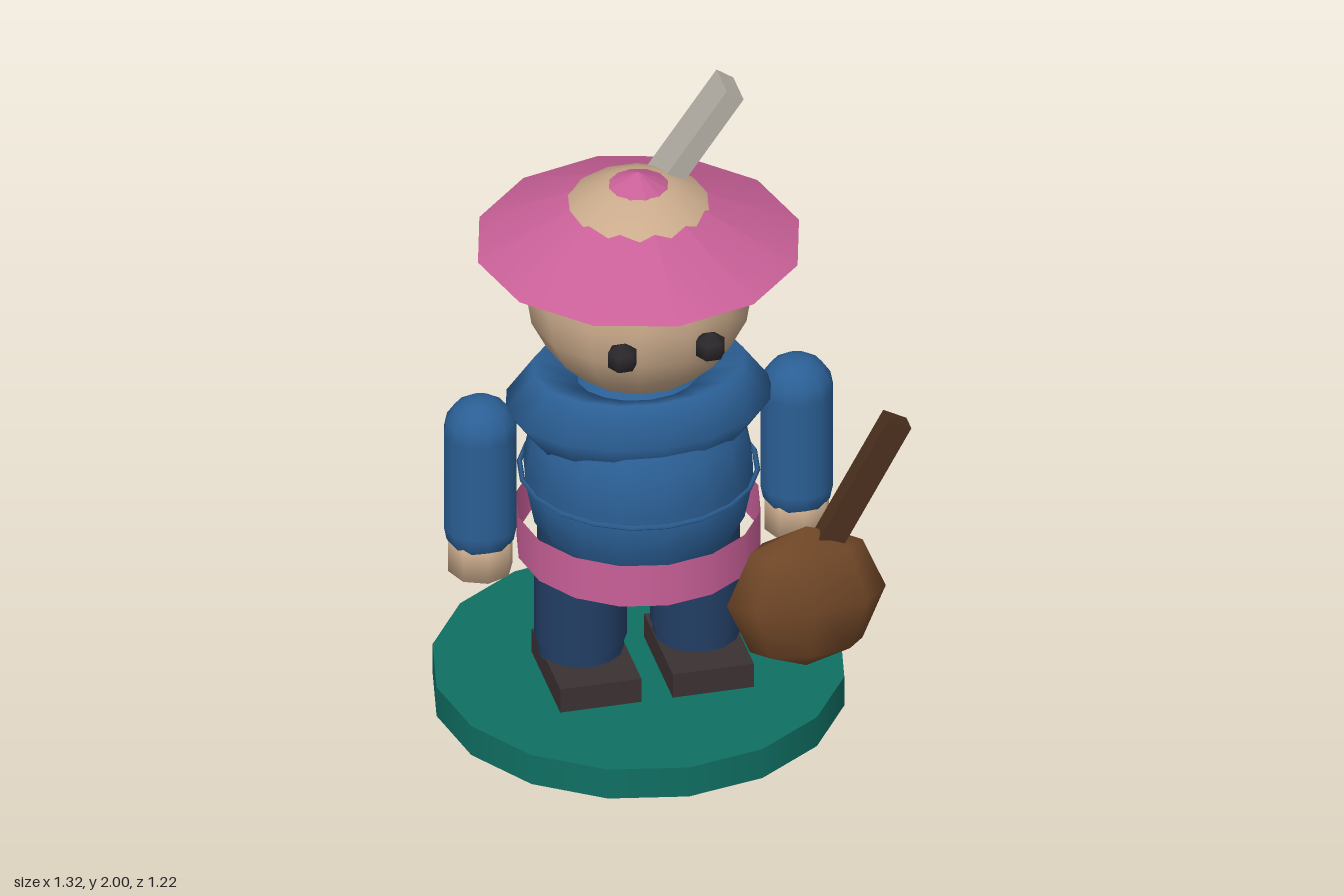
import * as THREE from 'three';

const material = (name, color) => {
  const m = new THREE.MeshStandardMaterial({ color });
  m.name = name;
  return m;
};

export function createModel() {
  const model = new THREE.Group();
  model.name = 'figurine';

  const skin = material('skin', 0xcbab8c);
  const pink = material('pink cloth', 0xc96098);
  const blue = material('blue cloth', 0x2b5f95);
  const navy = material('navy cloth', 0x223e64);
  const teal = material('teal base', 0x0f6f63);
  const wood = material('wood', 0x724828);
  const darkWood = material('dark wood', 0x4b301d);
  const black = material('black', 0x2b282b);
  const shoe = material('shoe leather', 0x3b3132);
  const metal = material('grey metal', 0xb4afa4);
  pink.side = THREE.DoubleSide;

  const add = (parent, name, geometry, mat, x = 0, y = 0, z = 0) => {
    const mesh = new THREE.Mesh(geometry, mat);
    mesh.name = name;
    mesh.position.set(x, y, z);
    parent.add(mesh);
    return mesh;
  };

  // Figure stands slightly off centre so that the held instrument balances it
  const figure = new THREE.Group();
  figure.name = 'figure';
  figure.position.x = -0.06;
  model.add(figure);

  // Round base
  add(figure, 'base', new THREE.CylinderGeometry(0.61, 0.61, 0.1, 16), teal, 0, 0.05, 0);

  // Torso with a thin seam, open sash and wide collar
  add(figure, 'torso', new THREE.CapsuleGeometry(0.34, 0.045, 4, 16), blue, 0, 0.7775, 0);
  const seam = add(figure, 'seam', new THREE.TorusGeometry(0.35, 0.008, 4, 20), blue, 0, 0.775, 0);
  seam.rotation.x = Math.PI / 2;
  add(figure, 'sash', new THREE.CylinderGeometry(0.362, 0.362, 0.14, 16, 1, true), pink, 0, 0.58, 0);
  const collar = add(figure, 'collar', new THREE.TorusGeometry(0.28, 0.12, 5, 16), blue, 0, 1.02, 0);
  collar.rotation.x = Math.PI / 2;
  collar.scale.y = 0.775;

  // Head, with the crown poking through the conical hat
  add(figure, 'head', new THREE.SphereGeometry(0.34, 14, 10), skin, 0, 1.42, 0);
  add(figure, 'hat', new THREE.ConeGeometry(0.485, 0.24, 12), pink, 0, 1.67, 0);

  // Paired parts
  for (const [side, s] of [['left', 1], ['right', -1]]) {
    add(figure, side + 'Eye', new THREE.SphereGeometry(0.05, 6, 3), black, s * 0.133, 1.37, 0.337);
    add(figure, side + 'Arm', new THREE.CapsuleGeometry(0.11, 0.32, 4, 12), blue, s * 0.478, 0.81, 0);
    add(figure, side + 'Hand', new THREE.SphereGeometry(0.112, 8, 3), skin, s * 0.478, 0.552, 0);
    add(figure, side + 'Leg', new THREE.CylinderGeometry(0.128, 0.128, 0.46, 14), navy, s * 0.175, 0.4, 0);
    add(figure, side + 'Trouser', new THREE.CylinderGeometry(0.136, 0.136, 0.26, 14), navy, s * 0.175, 0.35, 0);
    add(figure, side + 'Shoe', new THREE.BoxGeometry(0.245, 0.08, 0.345), shoe, s * 0.17, 0.14, 0.052);
  }

  // Stringed instrument: flattened round body and slanted neck
  const instrument = new THREE.Group();
  instrument.name = 'instrument';
  instrument.position.set(0.345, 0.51, 0.408);
  model.add(instrument);
  add(instrument, 'instrumentBody', new THREE.SphereGeometry(0.24, 8, 4), wood).scale.z = 0.41;
  const neck = add(instrument, 'instrumentNeck', new THREE.BoxGeometry(0.08, 0.5, 0.06), darkWood, 0.155, 0.35, 0);
  neck.rotation.z = -0.5;

  // Slanted blade rising from the back of the head
  const blade = add(model, 'blade', new THREE.BoxGeometry(0.062, 0.42, 0.125), metal, 0.122, 1.812, -0.102);
  blade.rotation.z = -0.61;

  return model;
}
